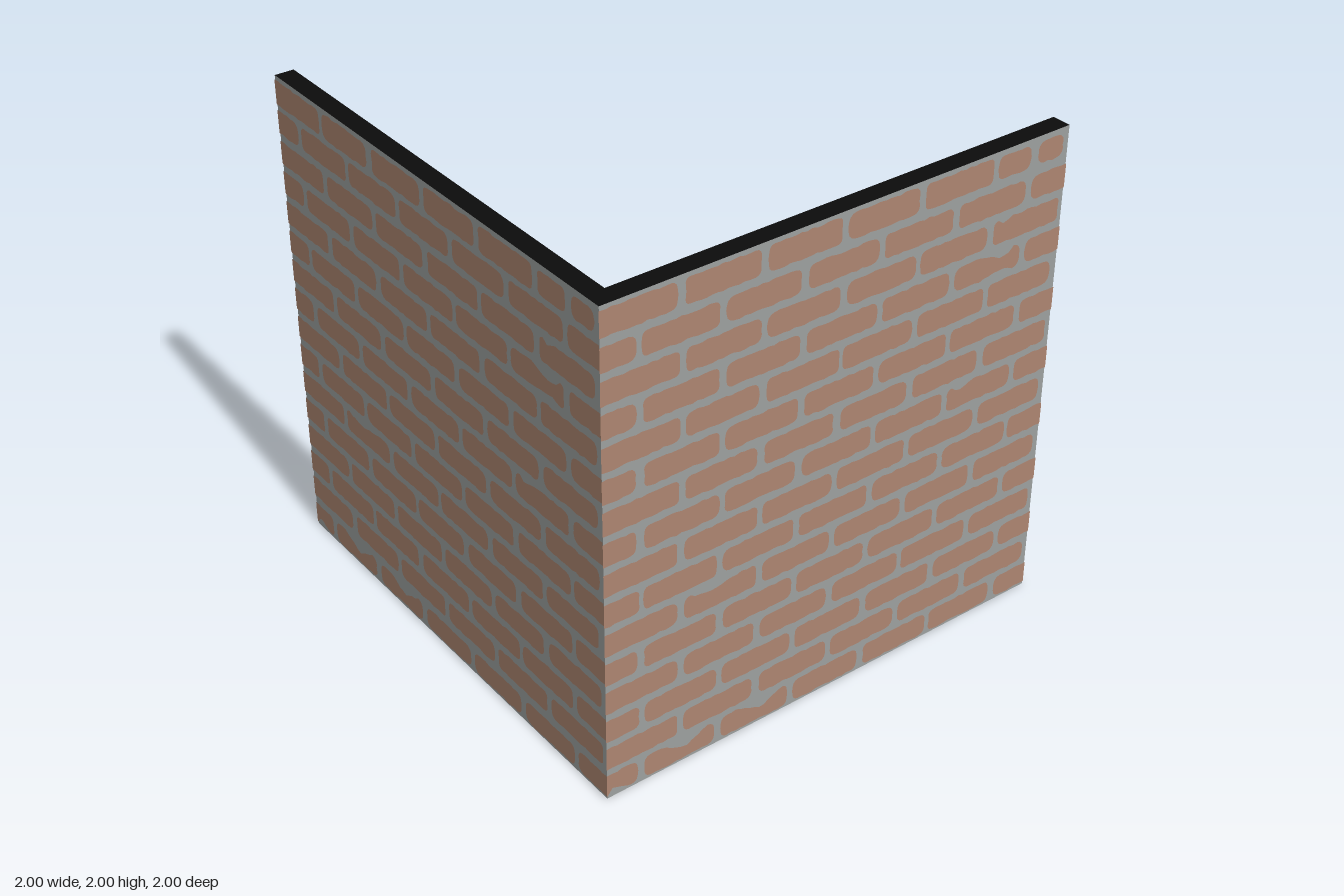
import * as THREE from 'three';

const T = 0.08;      // slab thickness
const GAP = 0.003;   // brick faces sit this far in front of the mortar
const mat = (name, color) => Object.assign(new THREE.MeshStandardMaterial({ color }), { name });

function seeded(seed) {
  return () => {
    seed = (seed * 16807) % 2147483647;
    return seed / 2147483647;
  };
}

// Worn spots: row from the bottom, centre u, half width, depth, on top (1) or bottom (-1) edge
const DIPS = [
  [0, -0.66, 0.1, 0.05, 1], [0, -0.32, 0.1, 0.045, 1], [0, -0.97, 0.07, 0.03, -1],
  [5, -0.55, 0.13, 0.02, 1], [12, 0.72, 0.1, 0.03, 1], [12, 0.72, 0.1, 0.015, -1],
  [8, 0.56, 0.06, 0.02, 1], [13, 0.7, 0.05, 0.025, 1],
];

// Uneven rounded outline of one brick
function brickShape(a, b, cy, h, row, rnd) {
  const x0 = Math.max(a, -1), x1 = Math.min(b, 1);
  const rl = a <= -1 ? 0.003 : 0.018 + 0.014 * rnd();
  const rr = b >= 1 ? 0.003 : 0.018 + 0.014 * rnd();
  const y0 = cy - h, y1 = cy + h;
  const pts = [];
  const wobble = () => (rnd() - 0.5) * 0.007;
  const corner = (cx, cyy, r, start) => {
    for (let i = 0; i <= 3; i++) {
      const t = start + (i / 3) * Math.PI / 2;
      pts.push([cx + r * Math.cos(t), cyy + r * Math.sin(t)]);
    }
  };
  const edge = (from, to, y, side) => {
    const n = Math.max(2, Math.round(Math.abs(to - from) / 0.022));
    for (let i = 1; i < n; i++) {
      const x = from + (to - from) * i / n;
      let yy = y + wobble();
      for (const [r, u, w, d, s] of DIPS)
        if (r === row && s === side) yy -= s * d * Math.max(0, 1 - Math.abs(x - u) / w);
      pts.push([x, yy]);
    }
  };
  corner(x0 + rl, y0 + rl, rl, Math.PI);
  edge(x0 + rl, x1 - rr, y0, -1);
  corner(x1 - rr, y0 + rr, rr, 1.5 * Math.PI);
  if (b < 1) pts.push([x1 + wobble(), cy]);
  corner(x1 - rr, y1 - rr, rr, 0);
  edge(x1 - rr, x0 + rl, y1, 1);
  corner(x0 + rl, y1 - rl, rl, Math.PI / 2);
  if (a > -1) pts.push([x0 + wobble(), cy]);
  return new THREE.Shape(pts.map(([x, y]) => new THREE.Vector2(x, y)));
}

// All bricks of one 2 x 2 face, in running bond
function brickFace(seed, shift) {
  const rnd = seeded(seed);
  const shapes = [];
  for (let row = 0; row < 16; row++) {
    const cy = 0.0625 + 0.125 * row + (row > 0 && row < 15 ? shift : -0.003);
    const half = row === 15 ? 0.05 : 0.047;
    const odd = row % 2 === 1;
    for (let k = 0; k < (odd ? 6 : 7); k++) {
      const a = (odd ? -1 : -1.168) + k * 0.3335 + (rnd() - 0.5) * 0.008;
      const b = a + 0.307 + (rnd() - 0.5) * 0.01;
      if (row === 15 && k === 5) {
        // the last brick of the top course is broken in two
        shapes.push(brickShape(0.67, 0.82, cy, 0.045, row, rnd));
        shapes.push(brickShape(0.855, 0.975, cy, 0.043, row, rnd));
      } else {
        shapes.push(brickShape(odd && k === 0 ? -1.01 : a, !odd && k === 6 ? 1.01 : b, cy, half, row, rnd));
      }
    }
  }
  return new THREE.ShapeGeometry(shapes);
}

export function createModel() {
  const group = new THREE.Group();
  const plaster = mat('grey plaster', 0x9da1a0);
  const brick = mat('brick', 0xae8671);
  const edge = mat('black cut edge', 0x0c0c0c);

  // Box between two corners, faces in the order +x -x +y -y +z -z
  const slab = (name, min, max, mats) => {
    const size = max.map((v, i) => v - min[i]);
    const mesh = new THREE.Mesh(new THREE.BoxGeometry(...size), mats);
    mesh.position.set(...max.map((v, i) => (v + min[i]) / 2));
    mesh.name = name;
    group.add(mesh);
  };
  const E = 1 - GAP, I = 1 - T;
  slab('floor', [-1, 0, -1], [E, T, E], [plaster, edge, plaster, plaster, plaster, edge]);
  slab('frontWall', [-1, T, I], [E, 2, E], [plaster, edge, edge, plaster, plaster, plaster]);
  slab('rightWall', [I, T, -1], [E, 2, I], [plaster, plaster, edge, plaster, plaster, edge]);

  // Brickwork on the two outer faces
  const front = new THREE.Mesh(brickFace(11, 0.003), brick);
  front.name = 'frontBricks';
  front.position.z = 1;
  const side = new THREE.Mesh(brickFace(47, -0.008), brick);
  side.name = 'sideBricks';
  side.rotation.y = Math.PI / 2;
  side.position.x = 1;
  group.add(front, side);
  return group;
}
